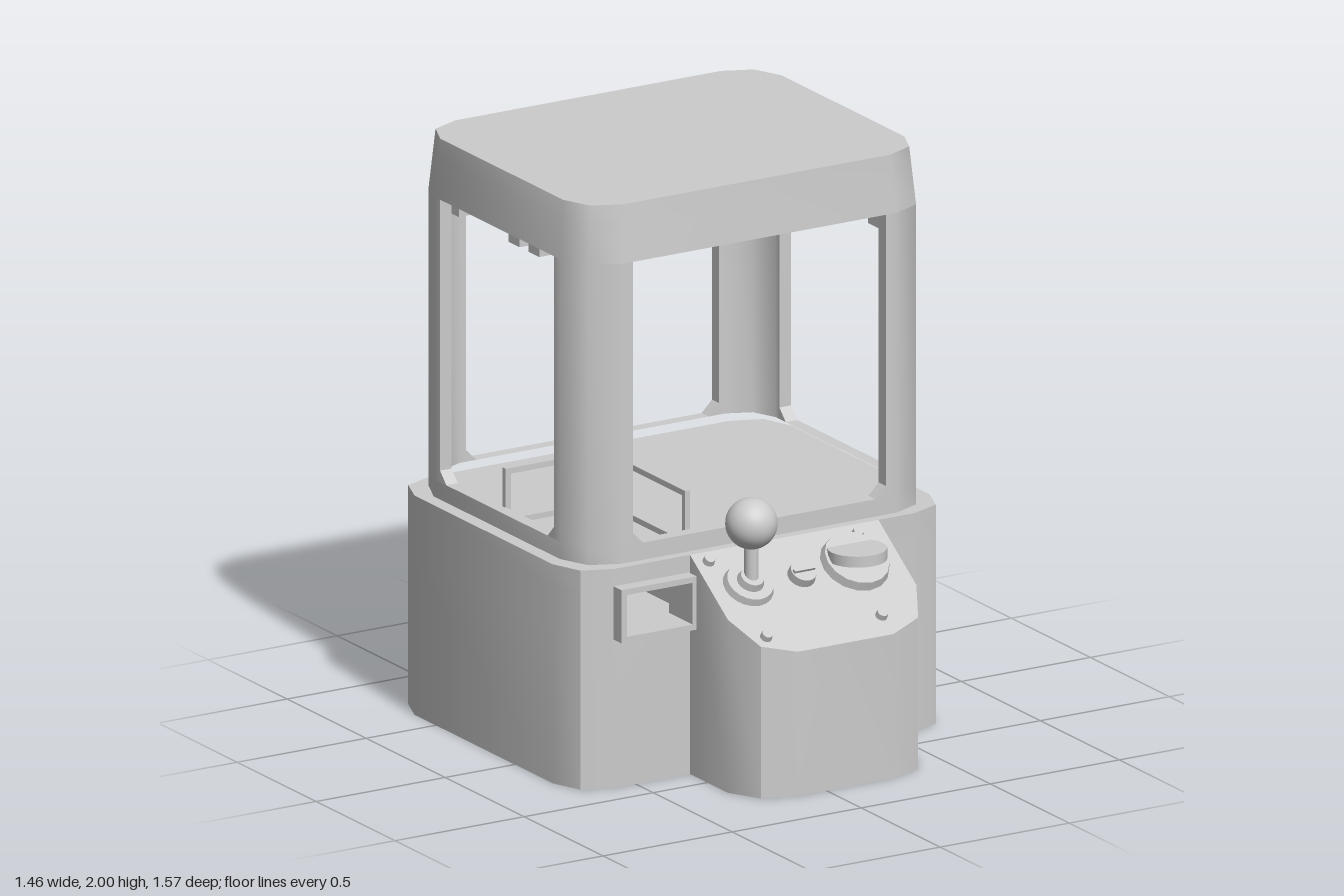
import * as THREE from 'three';
import { mergeGeometries, toCreasedNormals } from 'three/addons/utils/BufferGeometryUtils.js';

const grey = new THREE.MeshStandardMaterial({ color: 0xcccccc });
const CREASE = 0.7;

function add(parent, name, geometry, x = 0, y = 0, z = 0) {
  const mesh = new THREE.Mesh(geometry, grey);
  mesh.name = name;
  mesh.position.set(x, y, z);
  parent.add(mesh);
  return mesh;
}

// Rectangle in plan with two-step chamfered corners, starting at the front +x corner
function outline(hx, hz, cz, cut, mid) {
  const steps = [[0, cut], [mid, mid], [cut, 0]];
  const pts = [];
  [[1, 1], [-1, 1], [-1, -1], [1, -1]].forEach(([sx, sz], i) => {
    const order = i % 2 ? [...steps].reverse() : steps;
    order.forEach(([a, b]) => pts.push([sx * (hx - a), cz + sz * (hz - b)]));
  });
  return pts;
}

// Extrude a plan given as [x, z] points from y0 up to y1
function slab(pts, y0, y1, hole) {
  const toV = ([x, z]) => new THREE.Vector2(x, -z);
  const shape = new THREE.Shape(pts.map(toV));
  if (hole) shape.holes.push(new THREE.Path(hole.map(toV)));
  return new THREE.ExtrudeGeometry(shape, { depth: y1 - y0, bevelEnabled: false })
    .rotateX(-Math.PI / 2).translate(0, y0, 0);
}

// Upright polygon in x, y extruded along z
function upright(pts, z0, depth, hole) {
  const toV = ([x, y]) => new THREE.Vector2(x, y);
  const shape = new THREE.Shape(pts.map(toV));
  if (hole) shape.holes.push(new THREE.Path(hole.map(toV)));
  return new THREE.ExtrudeGeometry(shape, { depth, bevelEnabled: false }).translate(0, 0, z0);
}

const rect = (x0, x1, y0, y1) => [[x0, y0], [x1, y0], [x1, y1], [x0, y1]];

function moveVertices(geometry, rule) {
  const p = geometry.attributes.position;
  const v = new THREE.Vector3();
  for (let i = 0; i < p.count; i++) {
    rule(v.fromBufferAttribute(p, i));
    p.setXYZ(i, v.x, v.y, v.z);
  }
  return geometry;
}

// Lower cabinet with a prize well that opens to the front
function buildBase(root) {
  const plan = outline(0.73, 0.5875, -0.1975, 0.15, 0.042);
  const well = rect(-0.62, -0.255, -0.21, 0.29);
  const notched = [...plan];
  notched.splice(3, 0, [-0.31, 0.39], [-0.31, 0.29], [-0.255, 0.29], [-0.255, -0.21],
    [-0.62, -0.21], [-0.62, 0.29], [-0.565, 0.29], [-0.565, 0.39]);
  add(root, 'cabinetBase', toCreasedNormals(mergeGeometries([
    slab(plan, 0, 0.535), slab(notched, 0.535, 0.68), slab(plan, 0.68, 0.76, well),
  ]), CREASE));
  add(root, 'prizeDoorFrame', upright(rect(-0.585, -0.295, 0.515, 0.7), 0.38, 0.06,
    rect(-0.565, -0.31, 0.535, 0.68)));
}

// Upper cabin: sill, four rounded posts, header and roof
function buildCabin(root) {
  const CZ = -0.195, HX = 0.68, HZ = 0.55, T = 0.045, WX = 0.49, WZ = 0.36;
  const outer = outline(HX, HZ, CZ, 0.15, 0.045);
  const inner = outline(HX - T, HZ - T, CZ, 0.12, 0.036);
  const parts = [slab(outer, 0.76, 0.82, inner)];
  for (const sx of [1, -1]) for (const sz of [1, -1]) {
    const section = [
      [WX, HZ], [HX - 0.15, HZ], [HX - 0.045, HZ - 0.045], [HX, HZ - 0.15], [HX, WZ],
      [HX - T, WZ], [HX - T, HZ - T - 0.12], [HX - T - 0.036, HZ - T - 0.036],
      [HX - T - 0.12, HZ - T], [WX, HZ - T],
    ].map(([x, z]) => [sx * x, CZ + sz * z]);
    parts.push(slab(section, 0.82, 1.8));
    // Chamfers in the lower window corners
    const wedge = (w) => [[w, 0.82], [w - 0.04, 0.82], [w, 0.86]];
    parts.push(upright(wedge(WX).map(([x, y]) => [sx * x, y]),
      sz > 0 ? CZ + HZ - T : CZ - HZ, T));
    parts.push(upright(wedge(WZ).map(([x, y]) => [sz * x, y]), 0, T).rotateY(-Math.PI / 2)
      .translate(sx > 0 ? HX : -HX + T, 0, CZ));
  }
  parts.push(slab(outer, 1.8, 1.94, inner), slab(outer, 1.94, 2));
  const cabin = moveVertices(mergeGeometries(parts), (v) => {
    const k = 1 - 0.028 * Math.max(0, (v.y - 1.8) / 0.2);
    v.x *= k;
    v.z = CZ + (v.z - CZ) * k;
  });
  add(root, 'cabin', toCreasedNormals(cabin, 0.85));
}

// Overhead gantry: two side rails and two cross rails with brackets
function buildGantry(root) {
  const gantry = new THREE.Group();
  gantry.name = 'gantry';
  root.add(gantry);
  const rail = (len) => new THREE.CylinderGeometry(0.019, 0.019, len, 12);
  for (const x of [-0.56, 0.56]) {
    add(gantry, 'sideRail', rail(0.94).rotateX(Math.PI / 2), x, 1.755, -0.195);
    for (const z of [0.22, -0.1, -0.225, -0.61])
      add(gantry, 'railBracket', new THREE.BoxGeometry(0.07, 0.07, 0.07), x, 1.755, z);
  }
  for (const z of [-0.1, -0.225])
    add(gantry, 'crossRail', rail(1.12).rotateZ(Math.PI / 2), 0, 1.755, z);
}

// Open guard rails around the prize well
function buildGuard(root) {
  const guard = new THREE.Group();
  guard.name = 'prizeWellGuard';
  root.add(guard);
  const B = 0.02, X = -0.25, Z = -0.215;
  for (const y of [0.77, 0.945]) {
    add(guard, 'guardSideBar', new THREE.BoxGeometry(B, B, 0.535), X, y, 0.0425);
    add(guard, 'guardBackBar', new THREE.BoxGeometry(0.39, B, B), X - 0.195, y, Z);
  }
  for (const [x, z] of [[X, Z], [X, 0.3], [-0.63, Z]])
    add(guard, 'guardPost', new THREE.BoxGeometry(B, 0.195, B), x, 0.8575, z);
}

// Control console with slanted top
function buildConsole(root) {
  const SLOPE = 0.667;
  const panelY = (z) => 0.5 + (0.78 - z) * SLOPE;
  const plan = [[-0.29, 0.39], [-0.29, 0.63], [-0.23, 0.74], [-0.11, 0.78],
    [0.26, 0.78], [0.38, 0.74], [0.44, 0.63], [0.44, 0.39]];
  const body = moveVertices(slab(plan, 0, 0.5), (v) => {
    if (v.y > 0.1) v.y = panelY(v.z);
  });
  add(root, 'controlConsole', toCreasedNormals(body, CREASE));

  // Parts that sit square on the slanted panel
  const onPanel = (name, x, z) => {
    const g = new THREE.Group();
    g.name = name;
    g.position.set(x, panelY(z), z);
    g.rotation.x = Math.atan(SLOPE);
    root.add(g);
    return g;
  };
  const disc = (r0, r1, h, n = 20) => new THREE.CylinderGeometry(r0, r1, h, n);

  const collar = onPanel('joystickCollar', -0.15, 0.53);
  add(collar, 'collarPlate', disc(0.08, 0.088, 0.025), 0, 0.012, 0);
  add(collar, 'collarBoss', disc(0.04, 0.048, 0.03), 0, 0.035, 0);
  add(root, 'joystickStick', disc(0.024, 0.024, 0.18, 16), -0.15, 0.745, 0.55);
  add(root, 'joystickBall', new THREE.SphereGeometry(0.087, 28, 20), -0.15, 0.89, 0.55);

  const coin = onPanel('smallButton', 0.055, 0.53);
  add(coin, 'buttonCap', disc(0.045, 0.048, 0.03), 0, 0.015, 0);
  add(coin, 'buttonBar', new THREE.BoxGeometry(0.08, 0.012, 0.012), 0, 0.034, 0);

  const big = onPanel('largeButton', 0.268, 0.52);
  add(big, 'buttonRim', disc(0.112, 0.12, 0.03, 16), 0, 0.015, 0);
  add(root, 'largeButtonCap', disc(0.1, 0.1, 0.038, 24), 0.268, 0.713, 0.536);

  for (const [x, z] of [[-0.24, 0.425], [0.337, 0.425], [-0.193, 0.712], [0.254, 0.712]])
    add(onPanel('panelScrew', x, z), 'screwHead', disc(0.018, 0.021, 0.02, 12), 0, 0.01, 0);
}

export function createModel() {
  const root = new THREE.Group();
  root.name = 'clawMachine';
  buildBase(root);
  buildCabin(root);
  buildGantry(root);
  buildGuard(root);
  buildConsole(root);
  return root;
}
